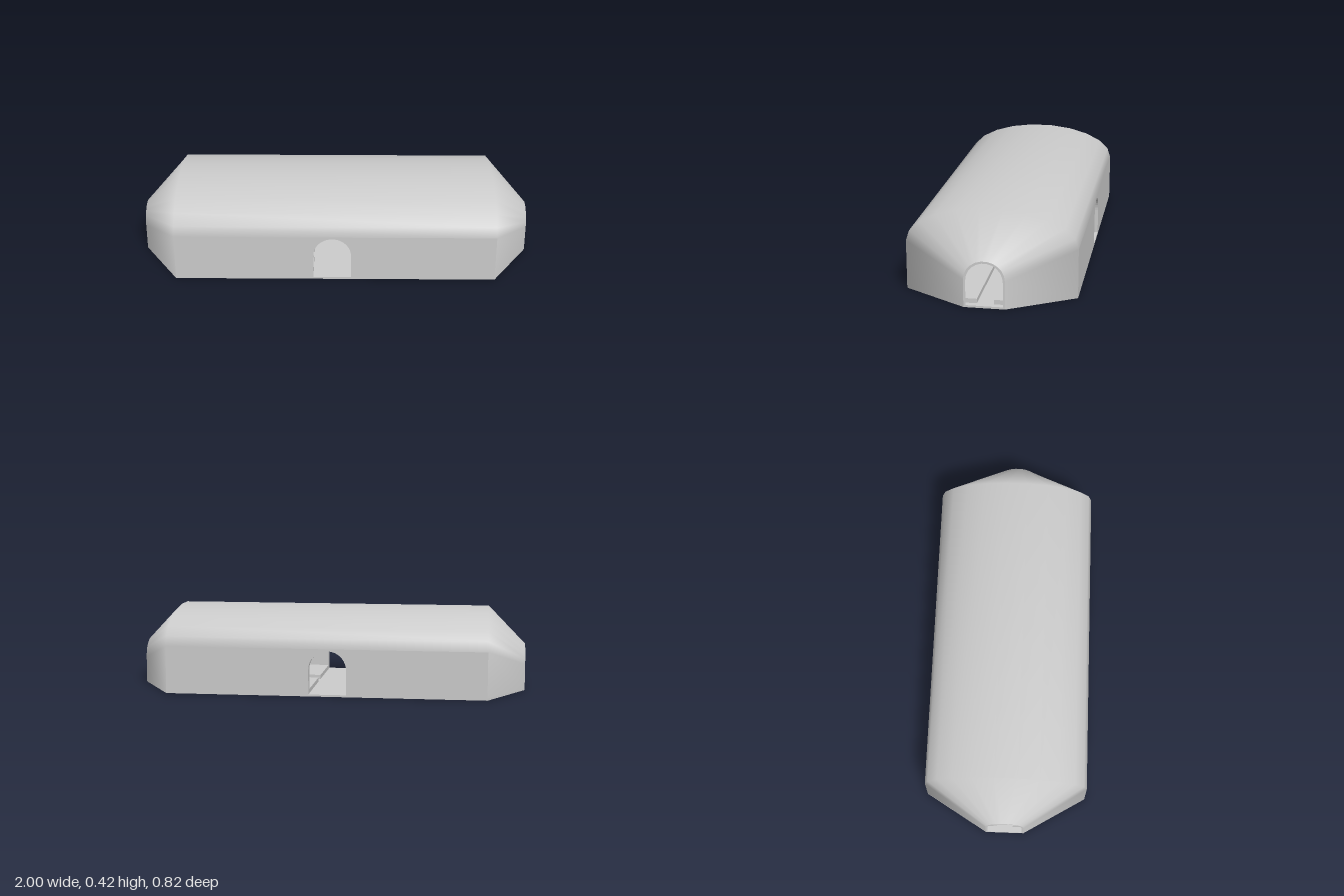
import * as THREE from 'three';

const SEG = 11; // facets across the vault

// Cross-section at x: straight walls up to spring, then a half-ellipse vault
function section(x, halfWidth, spring, top) {
  const rise = (top - spring) / Math.cos(Math.PI / 2 / SEG);
  const pts = [[x, 0, halfWidth]];
  for (let k = 0; k <= SEG; k++) {
    const a = (k / SEG) * Math.PI;
    pts.push([x, spring + rise * Math.sin(a), halfWidth * Math.cos(a)]);
  }
  pts.push([x, 0, -halfWidth]);
  return pts;
}

// Skin over sections; openSpan leaves the walls of that span out
function loft(sections, openSpan = -1) {
  const n = sections[0].length, all = [], kept = [];
  for (let i = 0; i < sections.length - 1; i++) {
    for (let j = 0; j < n - 1; j++) {
      const a = i * n + j, b = a + n;
      const quad = [a, b, a + 1, b, b + 1, a + 1];
      all.push(...quad);
      if (i !== openSpan || (j > 0 && j < n - 2)) kept.push(...quad);
    }
  }
  const g = new THREE.BufferGeometry();
  g.setAttribute('position', new THREE.Float32BufferAttribute(sections.flat(2), 3));
  g.setIndex(all);
  g.computeVertexNormals();
  g.setIndex(kept);
  return g;
}

// Flat slab from an (x, z) outline, standing on y = 0
function slab(outline, height) {
  const shape = new THREE.Shape(outline.map(([x, z]) => new THREE.Vector2(x, -z)));
  return new THREE.ExtrudeGeometry(shape, { depth: height, bevelEnabled: false }).rotateX(-Math.PI / 2);
}

export function createModel() {
  const group = new THREE.Group();
  const material = new THREE.MeshStandardMaterial({ color: 0xcccccc });
  const add = (name, geometry) => {
    const mesh = new THREE.Mesh(geometry, material);
    mesh.name = name;
    group.add(mesh);
    return mesh;
  };

  // Vaulted shell, tapering to an arched opening at each end
  const outerEnd = (x) => section(x, 0.097, 0.135, 0.227);
  const innerEnd = (x) => section(x, 0.087, 0.13, 0.217);
  const outerMid = (x) => section(x, 0.41, 0.24, 0.418);
  const innerMid = (x) => section(x, 0.37, 0.24, 0.38);
  add('outerShell', loft([outerEnd(-1), outerMid(-0.81), outerMid(0.81), outerEnd(1)], 1));
  add('innerShell', loft([innerEnd(1), innerMid(0.79), innerMid(-0.79), innerEnd(-1)], 1));
  add('leftEndRim', loft([outerEnd(1), innerEnd(1)]));
  add('rightEndRim', loft([innerEnd(-1), outerEnd(-1)]));

  // Long side walls, each with an arched doorway
  const wall = new THREE.Shape();
  wall.moveTo(-0.81, 0);
  wall.lineTo(-0.11, 0);
  wall.lineTo(-0.11, 0.135);
  wall.absarc(-0.015, 0.135, 0.095, Math.PI, 0, true);
  wall.lineTo(0.08, 0);
  wall.lineTo(0.81, 0);
  wall.lineTo(0.81, 0.24);
  wall.lineTo(-0.81, 0.24);
  const wallGeometry = new THREE.ExtrudeGeometry(wall, { depth: 0.04, bevelEnabled: false, curveSegments: 10 });
  add('frontWall', wallGeometry).position.z = 0.37;
  add('backWall', wallGeometry).position.z = -0.41;

  // Base plate
  add('floor', slab([
    [1, 0.097], [0.81, 0.41], [-0.81, 0.41], [-1, 0.097],
    [-1, -0.097], [-0.81, -0.41], [0.81, -0.41], [1, -0.097],
  ], 0.01));

  // Raised floor quarters, leaving crossing channels between the openings
  for (const sx of [1, -1]) {
    const start = sx > 0 ? 0.08 : -0.11;
    for (const sz of [1, -1]) {
      add('raisedFloor', slab([
        [start, sz * 0.04], [sx * 0.97, sz * 0.04], [sx * 0.97, sz * 0.13],
        [sx * 0.8, sz * 0.375], [start, sz * 0.375],
      ], 0.032));
    }
  }
  return group;
}
